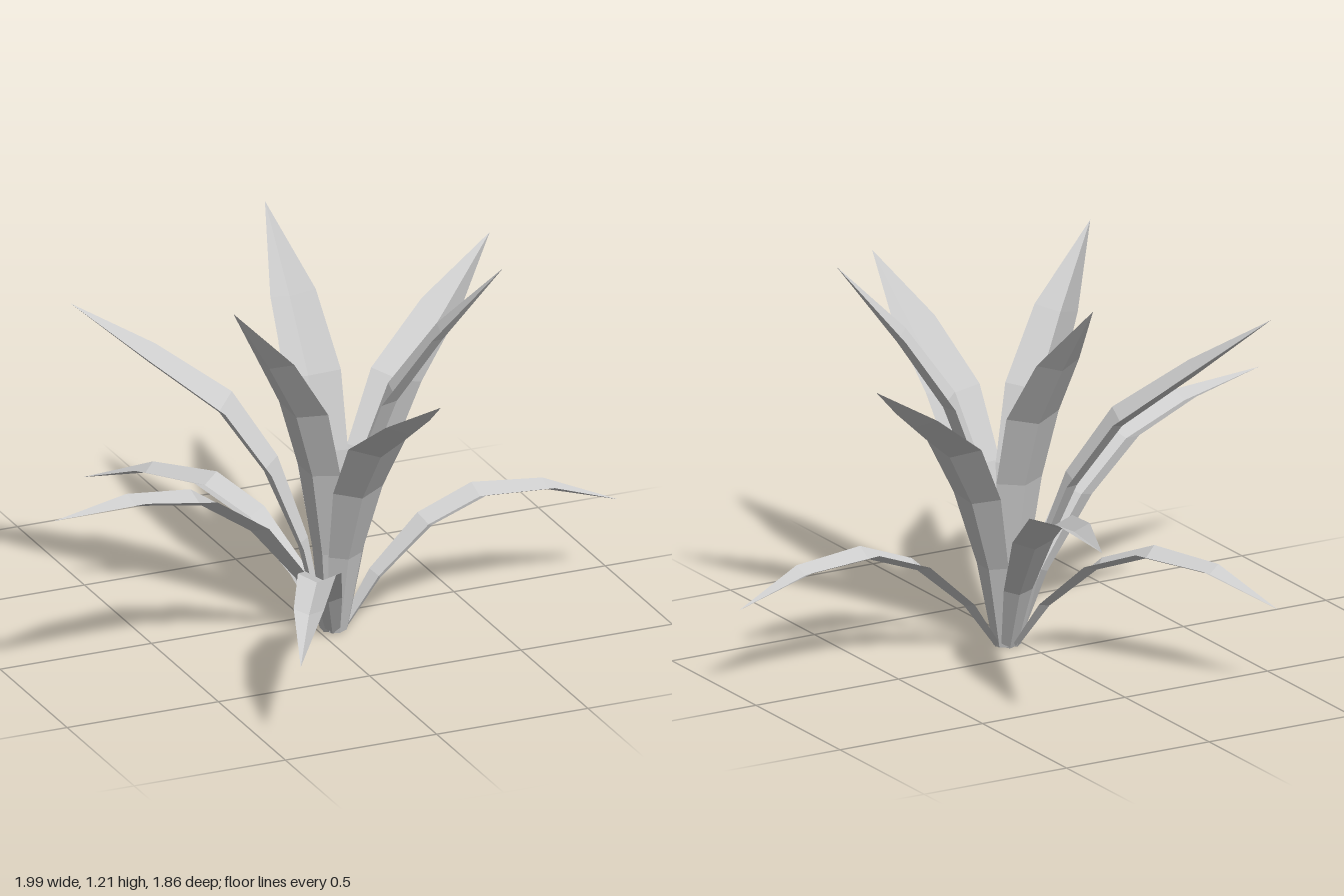
import * as THREE from 'three';

// Each kind of leaf: edge path [distance out, height, half width], and the directions it grows in (degrees from +x towards +z)
const kinds = [
  { name: 'tallLeaf', angles: [30, 150, 270],
    path: [[0.025, 0.01, 0.03], [0.035, 0.27, 0.055], [0.075, 0.55, 0.08], [0.155, 0.78, 0.092], [0.305, 0.99, 0.075], [0.515, 1.21, 0]] },
  { name: 'middleLeaf', angles: [-30, 90, 210],
    path: [[0.03, 0.01, 0.03], [0.085, 0.28, 0.055], [0.18, 0.53, 0.082], [0.32, 0.73, 0.094], [0.55, 0.885, 0.073], [0.8, 1.035, 0]] },
  { name: 'longLeaf', angles: [165.5, -75],
    path: [[0.03, 0.01, 0.025], [0.13, 0.22, 0.045], [0.3, 0.43, 0.065], [0.5, 0.57, 0.067], [0.76, 0.628, 0.05], [1.08, 0.638, 0]] },
  { name: 'lowLeaf', angles: [0, 120, 240],
    path: [[0.03, 0.01, 0.022], [0.135, 0.165, 0.04], [0.3, 0.315, 0.055], [0.48, 0.383, 0.058], [0.71, 0.363, 0.046], [0.94, 0.27, 0]] },
];

// A folded blade with a V section: two raised edges and a keel on the outer, lower side
function bladeGeometry(path) {
  const positions = [];
  const index = [];
  path.forEach(([r, y, w], i) => {
    const a = path[Math.max(i - 1, 0)];
    const b = path[Math.min(i + 1, path.length - 1)];
    const dr = b[0] - a[0], dy = b[1] - a[1], len = Math.hypot(dr, dy);
    const depth = w * 0.45;
    positions.push(r, y, -w);
    positions.push(r + (dy / len) * depth, Math.max(0, y - (dr / len) * depth), 0);
    positions.push(r, y, w);
    if (i === 0) return;
    const p = (i - 1) * 3, q = i * 3;
    for (let k = 0; k < 2; k++) {
      index.push(p + k, p + k + 1, q + k);
      if (w > 0) index.push(p + k + 1, q + k + 1, q + k);
    }
  });
  const indexed = new THREE.BufferGeometry();
  indexed.setAttribute('position', new THREE.Float32BufferAttribute(positions, 3));
  indexed.setIndex(index);
  const geometry = indexed.toNonIndexed();
  geometry.computeVertexNormals();
  return geometry;
}

export function createModel() {
  const model = new THREE.Group();
  model.name = 'plant';
  const leafGrey = new THREE.MeshStandardMaterial({ color: 0xcccccc, flatShading: true, side: THREE.DoubleSide });
  leafGrey.name = 'leaf grey';

  // Rosette of leaves around one root point
  for (const { name, angles, path } of kinds) {
    const geometry = bladeGeometry(path);
    angles.forEach((angle, i) => {
      const leaf = new THREE.Mesh(geometry, leafGrey);
      leaf.name = name + (i + 1);
      leaf.position.set(0.05, 0, 0.12);
      leaf.rotation.y = -THREE.MathUtils.degToRad(angle);
      model.add(leaf);
    });
  }
  return model;
}
